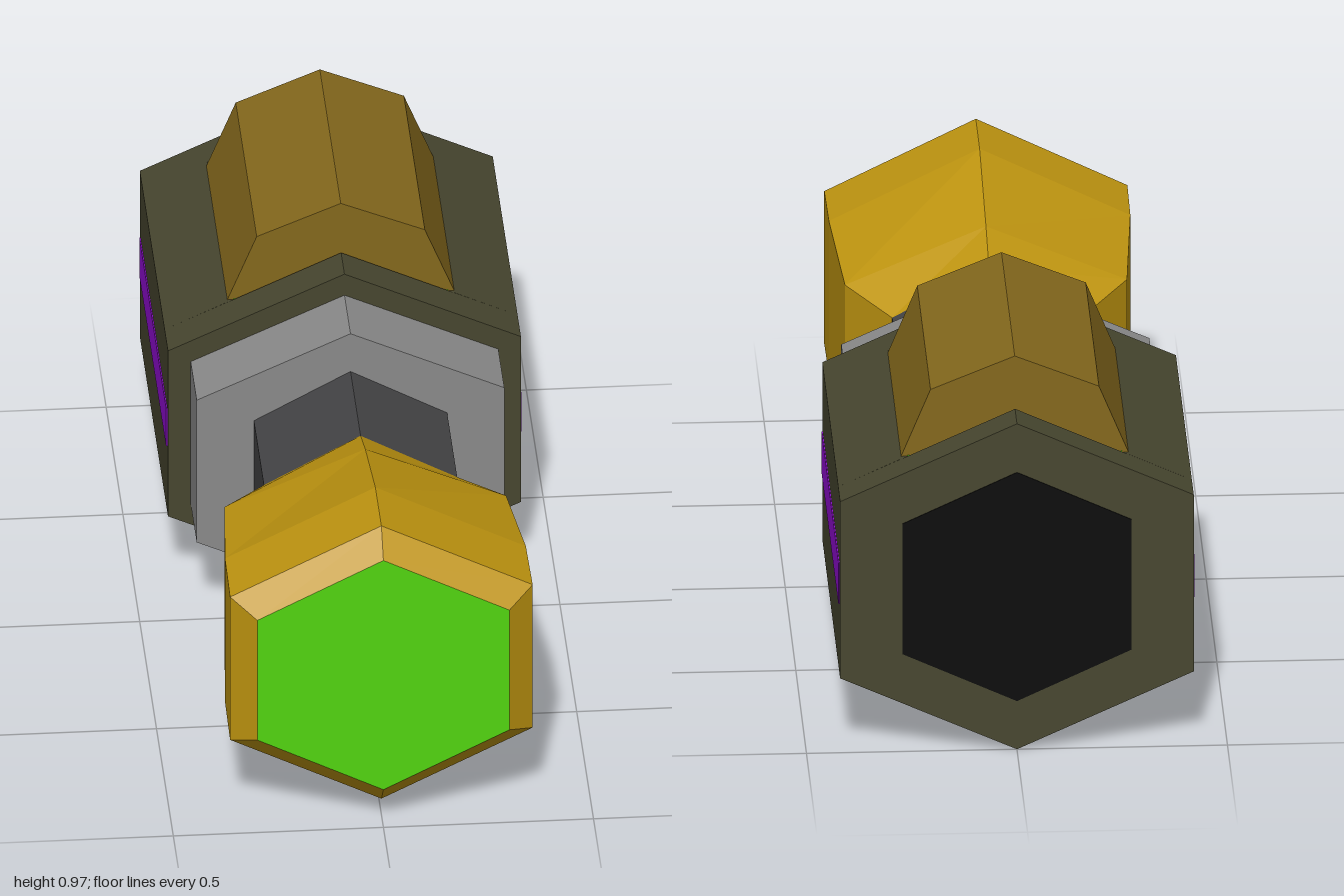
import * as THREE from 'three';

const CY = 0.42; // height of the long axis

const mat = (color) => new THREE.MeshStandardMaterial({ color, flatShading: true });

// Six corners, counter-clockwise, point up: half width, half height, half side height
const hex = (w, h, s) =>
  [[0, h], [-w, s], [-w, -s], [0, -h], [w, -s], [w, s]].map(([x, y]) => [x, y + CY]);

// Prism of an xy outline between two z values
function prism(points, z0, z1) {
  const shape = new THREE.Shape(points.map(([x, y]) => new THREE.Vector2(x, y)));
  return new THREE.ExtrudeGeometry(shape, { depth: z1 - z0, bevelEnabled: false }).translate(0, 0, z0);
}

// Flat-sided skin through hexagons listed from back to front
function loftHex(sections) {
  const rings = sections.map(([z, w, h, s]) => hex(w, h, s).map(([x, y]) => [x, y, z]));
  const pos = [];
  for (let i = 0; i + 1 < rings.length; i++) {
    for (let k = 0; k < 6; k++) {
      const n = (k + 1) % 6;
      const [a, b, c, d] = [rings[i][k], rings[i][n], rings[i + 1][n], rings[i + 1][k]];
      pos.push(...a, ...b, ...c, ...a, ...c, ...d);
    }
  }
  const geo = new THREE.BufferGeometry();
  geo.setAttribute('position', new THREE.Float32BufferAttribute(pos, 3));
  geo.computeVertexNormals();
  return geo;
}

export function createModel() {
  const group = new THREE.Group();
  const add = (name, geo, material) => {
    const mesh = new THREE.Mesh(geo, material);
    mesh.name = name;
    group.add(mesh);
    return mesh;
  };

  const olive = mat(0x47462f);
  const green = mat(0x52d410);
  const purple = mat(0x930dd6);

  // Main body: full hexagon at both ends, ridge cut away between them for the slot
  const outline = hex(0.42, 0.42, 0.228);
  const slotY = 0.717;
  const slotX = 0.27;
  add('bodyFront', prism(outline, -0.26, -0.16), olive);
  add('bodyBack', prism(outline, -1, -0.91), olive);
  add('bodyMiddle', prism([[slotX, slotY], [-slotX, slotY], ...outline.slice(1)], -0.91, -0.26), olive);

  // Glowing floor of the slot
  add('slotFloor', new THREE.BoxGeometry(0.51, 0.006, 0.648).translate(0, 0.717, -0.585), green);

  // Faceted block sitting in the slot
  const block = [[0, 0.97], [-0.2, 0.888], [-0.27, 0.717], [0.27, 0.717], [0.2, 0.888]];
  add('topBlock', prism(block, -0.895, -0.27), mat(0x84681c));

  // Stripe on each flank
  for (const [side, name] of [[1, 'leftStripe'], [-1, 'rightStripe']]) {
    add(name, new THREE.BoxGeometry(0.006, 0.105, 0.795).translate(side * 0.42, 0.426, -0.578), purple);
  }

  // Dark opening at the back
  add('rearOpening', prism(hex(0.272, 0.295, 0.168), -1.002, -0.99), mat(0x0a0a0a));

  // Collar and neck
  add('collar', prism(hex(0.366, 0.362, 0.196), -0.16, 0.02), mat(0x8a8a8a));
  add('neck', prism(hex(0.23, 0.258, 0.133), 0.02, 0.32), mat(0x444446));

  // Flared head with a bevelled rim
  add('head', loftHex([
    [0.32, 0.23, 0.258, 0.133],
    [0.46, 0.335, 0.304, 0.16],
    [0.76, 0.358, 0.376, 0.197],
    [0.94, 0.36, 0.376, 0.197],
    [1, 0.3, 0.316, 0.165],
  ]), mat(0xbf9510));

  // Lens closing the head
  add('lens', prism(hex(0.3, 0.316, 0.165), 0.99, 1), green);

  return group;
}
